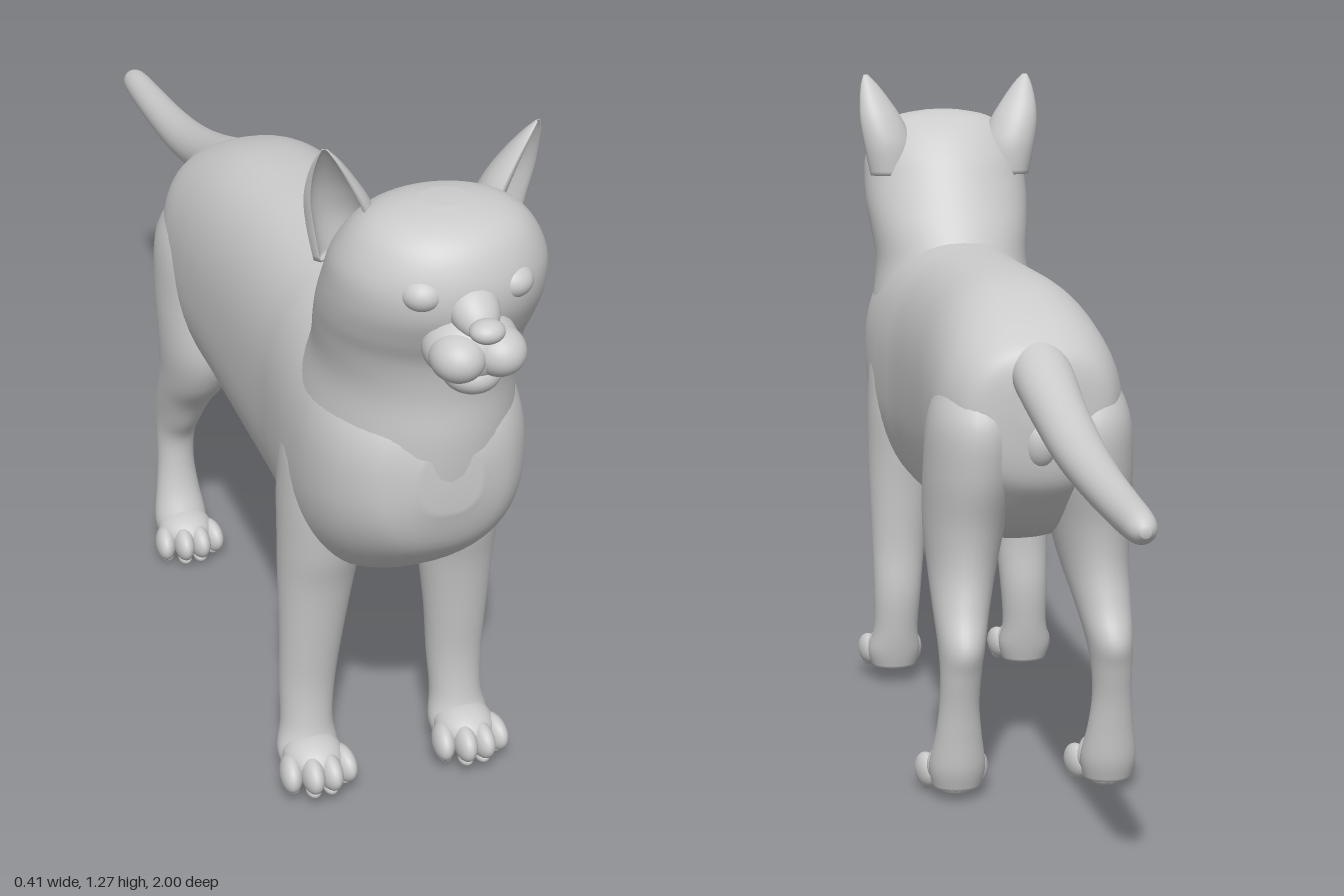
import * as THREE from 'three';

const material = new THREE.MeshStandardMaterial({ color: 0xcccccc });

// Catmull-Rom interpolation through rows of section parameters
function smoothRows(rows, steps) {
  const out = [];
  const row = (i) => rows[Math.min(rows.length - 1, Math.max(0, i))];
  for (let i = 0; i < rows.length - 1; i++) {
    for (let k = 0; k < steps; k++) {
      const t = k / steps;
      out.push(rows[i].map((b, c) => {
        const a = row(i - 1)[c], d = row(i + 1)[c], e = row(i + 2)[c];
        return b + 0.5 * t * (d - a + t * (2 * a - 5 * b + 4 * d - e + t * (3 * (b - d) + e - a)));
      }));
    }
  }
  out.push(rows[rows.length - 1]);
  return out;
}

// Closed skin over cross-sections; ring(row, u) gives a point for u in 0..1
function loft(name, rows, ring, sides = 40, steps = 5) {
  const pos = [], index = [];
  const all = smoothRows(rows, steps);
  for (const r of all) for (let j = 0; j < sides; j++) pos.push(...ring(r, j / sides));
  for (let i = 0; i < all.length - 1; i++) {
    for (let j = 0; j < sides; j++) {
      const a = i * sides + j, b = i * sides + (j + 1) % sides;
      index.push(a, a + sides, b, b, a + sides, b + sides);
    }
  }
  // End caps, fanned from the middle of the first and last ring
  for (const [start, flip] of [[0, false], [(all.length - 1) * sides, true]]) {
    const mid = [0, 0, 0];
    for (let j = 0; j < sides; j++) for (let c = 0; c < 3; c++) mid[c] += pos[(start + j) * 3 + c] / sides;
    const m = pos.length / 3;
    pos.push(...mid);
    for (let j = 0; j < sides; j++) {
      const a = start + j, b = start + (j + 1) % sides;
      index.push(m, flip ? b : a, flip ? a : b);
    }
  }
  // Turn the faces outward if the enclosed volume is negative
  const v = (i) => new THREE.Vector3().fromArray(pos, i * 3);
  let volume = 0;
  for (let i = 0; i < index.length; i += 3) volume += v(index[i]).dot(v(index[i + 1]).cross(v(index[i + 2])));
  if (volume < 0) index.reverse();
  const geometry = new THREE.BufferGeometry();
  geometry.setAttribute('position', new THREE.Float32BufferAttribute(pos, 3));
  geometry.setIndex(index);
  geometry.computeVertexNormals();
  const mesh = new THREE.Mesh(geometry, material);
  mesh.name = name;
  return mesh;
}

function ellipsoid(name, center, radii) {
  const mesh = new THREE.Mesh(new THREE.SphereGeometry(1, 28, 20), material);
  mesh.name = name;
  mesh.position.set(...center);
  mesh.scale.set(...radii);
  return mesh;
}

const rounded = (v, p) => Math.sign(v) * Math.abs(v) ** p;

// Upright ring, row = [z, top, bottom, halfWidth]
const uprightRing = (p) => ([z, top, bottom, w], u) => {
  const a = u * Math.PI * 2;
  return [w * rounded(Math.cos(a), p), (top + bottom) / 2 + (top - bottom) / 2 * rounded(Math.sin(a), p), z];
};
// Level ring, row = [y, back z, front z, halfWidth]
const levelRing = ([y, back, front, w], u) => {
  const a = u * Math.PI * 2;
  return [w * Math.cos(a), y, (back + front) / 2 + (front - back) / 2 * Math.sin(a)];
};
// Leg ring, row = [y, x, z, rx, rz]
const legRing = (side) => ([y, x, z, rx, rz], u) => {
  const a = u * Math.PI * 2;
  return [side * (x + rx * Math.cos(a)), y, z + rz * Math.sin(a)];
};
// Ear ring: a C-shaped wall open to the front and side, row = [y, x, z, r]
const earRing = (side) => ([y, x, z, r], u) => {
  const outer = u < 0.5;
  const s = outer ? u / 0.5 : (1 - u) / 0.5;
  const phi = THREE.MathUtils.degToRad(65 + 230 * s);
  const k = r * (outer ? 1 : 0.8);
  const along = 0.85 * k * Math.cos(phi), across = k * Math.sin(phi);
  const dx = 0.6, dz = 0.8;
  return [side * (x + along * dx - across * dz), y, z + along * dz + across * dx];
};

const torsoRows = [
  [-0.262, 0.79, 0.69, 0.05], [-0.25, 0.82, 0.6, 0.11], [-0.22, 0.845, 0.55, 0.145],
  [-0.15, 0.88, 0.48, 0.17], [-0.05, 0.912, 0.445, 0.174], [0.05, 0.926, 0.435, 0.172],
  [0.2, 0.93, 0.42, 0.168], [0.4, 0.93, 0.413, 0.168], [0.5, 0.932, 0.415, 0.176],
  [0.6, 0.93, 0.425, 0.184], [0.7, 0.92, 0.475, 0.182], [0.78, 0.89, 0.535, 0.16],
  [0.84, 0.85, 0.6, 0.115], [0.868, 0.79, 0.68, 0.05],
];
const headRows = [
  [0.52, 0.58, 0.74, 0.11], [0.6, 0.5, 0.83, 0.17], [0.7, 0.45, 0.862, 0.18],
  [0.8, 0.45, 0.874, 0.168], [0.88, 0.5, 0.873, 0.157], [0.95, 0.54, 0.885, 0.164],
  [1.0, 0.572, 0.91, 0.17], [1.05, 0.602, 0.932, 0.17], [1.1, 0.632, 0.933, 0.163],
  [1.15, 0.675, 0.912, 0.135], [1.178, 0.72, 0.875, 0.095], [1.19, 0.765, 0.825, 0.035],
];
const tailRows = [
  [-0.18, 0.85, 0.74, 0.05], [-0.27, 0.825, 0.725, 0.054], [-0.4, 0.78, 0.69, 0.048],
  [-0.55, 0.738, 0.66, 0.043], [-0.7, 0.712, 0.645, 0.037], [-0.85, 0.697, 0.637, 0.032],
  [-0.94, 0.69, 0.635, 0.028], [-0.98, 0.683, 0.638, 0.022], [-1, 0.668, 0.652, 0.008],
];
const frontLegRows = [
  [0.76, 0.1, 0.61, 0.04, 0.05], [0.7, 0.11, 0.605, 0.07, 0.09], [0.6, 0.116, 0.603, 0.074, 0.098],
  [0.5, 0.12, 0.602, 0.071, 0.082], [0.42, 0.125, 0.597, 0.065, 0.065], [0.3, 0.131, 0.592, 0.055, 0.05],
  [0.2, 0.135, 0.585, 0.049, 0.045], [0.12, 0.138, 0.592, 0.046, 0.042], [0.07, 0.14, 0.605, 0.054, 0.045],
  [0.035, 0.14, 0.61, 0.046, 0.04],
];
const hindLegRows = [
  [0.79, 0.09, -0.12, 0.05, 0.07], [0.7, 0.1, -0.135, 0.08, 0.125], [0.6, 0.106, -0.128, 0.083, 0.13],
  [0.5, 0.115, -0.113, 0.074, 0.118], [0.42, 0.122, -0.128, 0.062, 0.097], [0.35, 0.13, -0.168, 0.051, 0.073],
  [0.29, 0.135, -0.2, 0.042, 0.067], [0.24, 0.138, -0.21, 0.037, 0.046], [0.18, 0.14, -0.205, 0.036, 0.037],
  [0.12, 0.14, -0.195, 0.042, 0.038], [0.06, 0.14, -0.178, 0.051, 0.048], [0.02, 0.14, -0.172, 0.044, 0.042],
];
const earRows = [
  [1.06, 0.118, 0.715, 0.054], [1.12, 0.127, 0.718, 0.058], [1.17, 0.141, 0.724, 0.051],
  [1.21, 0.153, 0.731, 0.037], [1.245, 0.163, 0.74, 0.02], [1.266, 0.169, 0.745, 0.005],
];

// Paw with four toes and the pads beneath; z is the heel, y the ground
function paw(name, side, y, z) {
  const g = new THREE.Group();
  g.name = name;
  g.position.set(side * 0.14, y, z);
  g.add(ellipsoid('instep', [0, 0.05, 0.045], [0.052, 0.038, 0.06]));
  g.add(ellipsoid('heelPad', [0, 0.016, 0.03], [0.032, 0.016, 0.03]));
  for (const k of [-1.5, -0.5, 0.5, 1.5]) {
    const outerToe = Math.abs(k) > 1;
    const front = outerToe ? 0.068 : 0.09;
    const toe = ellipsoid('toe', [k * 0.031, outerToe ? 0.036 : 0.042, front], [0.02, 0.032, 0.04]);
    toe.rotation.y = k * 0.12;
    g.add(toe, ellipsoid('toePad', [k * 0.031, 0.012, front + 0.006], [0.013, 0.012, 0.018]));
  }
  return g;
}

export function createModel() {
  const cat = new THREE.Group();
  cat.name = 'cat';
  cat.add(
    loft('torso', torsoRows, uprightRing(0.85), 56),
    loft('neckAndHead', headRows, levelRing, 56),
    loft('tail', tailRows, uprightRing(1), 28),
    ellipsoid('rump', [0, 0.66, -0.235], [0.035, 0.05, 0.035]),
  );

  // Face on the centre line
  const bridge = ellipsoid('noseBridge', [0, 1.07, 0.915], [0.04, 0.035, 0.06]);
  bridge.rotation.x = 0.5;
  cat.add(
    bridge,
    ellipsoid('muzzle', [0, 1.005, 0.915], [0.074, 0.055, 0.06]),
    ellipsoid('nose', [0, 1.056, 0.976], [0.027, 0.018, 0.024]),
    ellipsoid('chin', [0, 0.964, 0.925], [0.045, 0.032, 0.045]),
  );

  // Mirrored parts
  for (const side of [1, -1]) {
    const label = side > 0 ? 'left' : 'right';
    cat.add(
      loft(label + 'FrontLeg', frontLegRows, legRing(side), 32),
      loft(label + 'HindLeg', hindLegRows, legRing(side), 32),
      paw(label + 'FrontPaw', side, 0.022, 0.588),
      paw(label + 'HindPaw', side, 0, -0.192),
      loft(label + 'Ear', earRows, earRing(side), 48),
      ellipsoid(label + 'Eye', [side * 0.07, 1.09, 0.893], [0.034, 0.028, 0.036]),
      ellipsoid(label + 'WhiskerPad', [side * 0.032, 1.004, 0.945], [0.042, 0.038, 0.047]),
    );
  }
  return cat;
}
